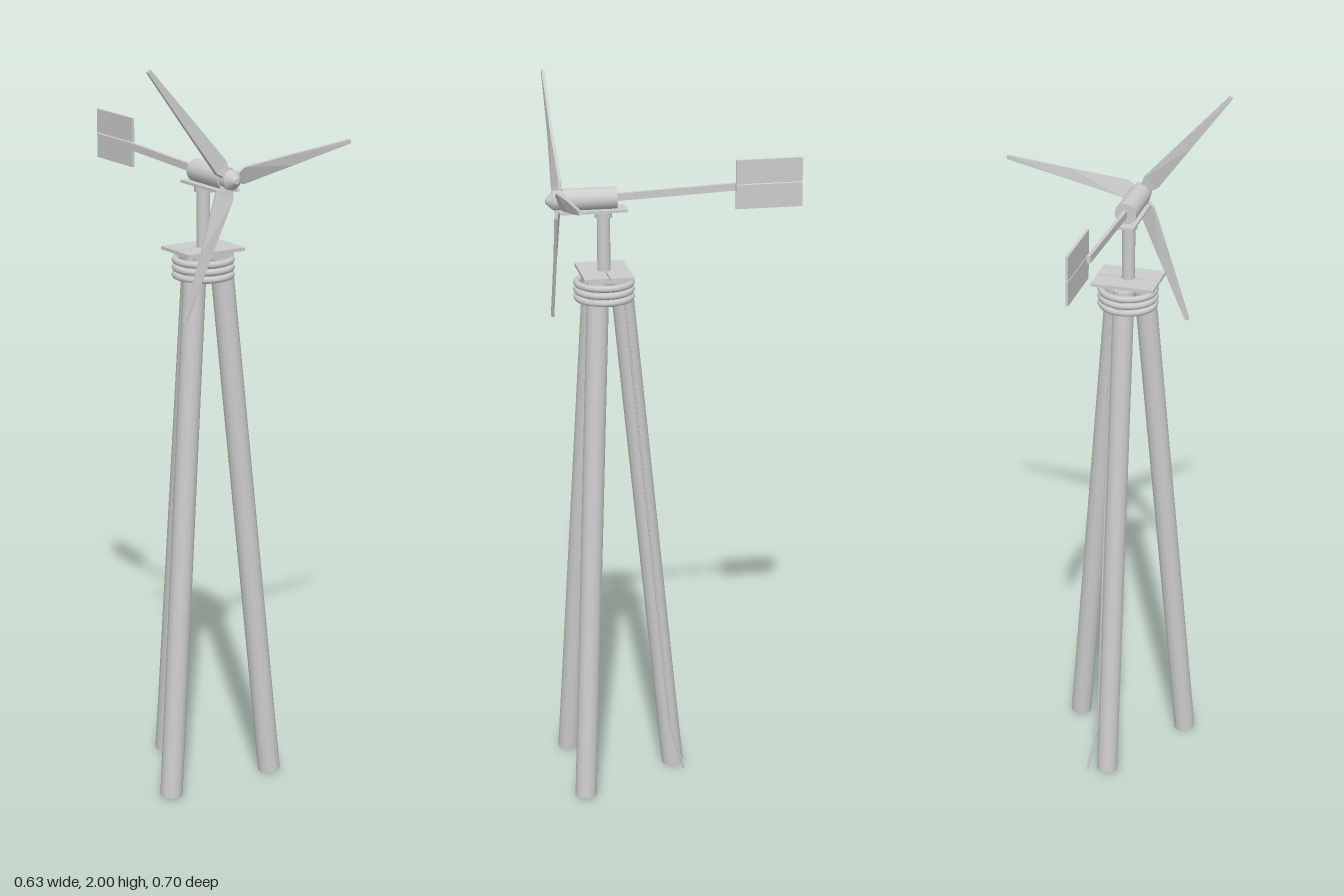
import * as THREE from 'three';

const CX = -0.068, CZ = 0.195; // tower axis
const V = (x, y, z) => new THREE.Vector3(x, y, z);

export function createModel() {
  const root = new THREE.Group();
  root.name = 'windTurbine';
  const grey = new THREE.MeshStandardMaterial({ color: 0xcccccc });
  grey.name = 'paleGrey';

  const add = (name, geo, x = 0, y = 0, z = 0, parent = root) => {
    const mesh = new THREE.Mesh(geo, grey);
    mesh.name = name;
    mesh.position.set(x, y, z);
    parent.add(mesh);
    return mesh;
  };
  // Cylinder running from a to b
  const rod = (name, a, b, r, sides = 16, rEnd = r) => {
    const dir = b.clone().sub(a);
    const mesh = add(name, new THREE.CylinderGeometry(rEnd, r, dir.length(), sides));
    mesh.position.copy(a).add(b).multiplyScalar(0.5);
    mesh.quaternion.setFromUnitVectors(V(0, 1, 0), dir.normalize());
    return mesh;
  };

  // Three leaning legs
  [30, 150, 270].forEach((deg, i) => {
    const c = Math.cos(deg * Math.PI / 180), s = Math.sin(deg * Math.PI / 180);
    rod('leg' + (i + 1), V(CX + 0.187 * c, 0.004, CZ + 0.187 * s),
      V(CX + 0.045 * c, 1.48, CZ + 0.045 * s), 0.0305, 12);
  });

  // Binding rings round the leg tops
  [1.424, 1.444, 1.464].forEach((y, i) => {
    const ring = new THREE.TorusGeometry(0.0745, 0.0095, 8, 32);
    ring.rotateX(Math.PI / 2);
    add('bindingRing' + (i + 1), ring, CX, y, CZ);
  });

  // Two-board platform on a bearer block
  add('bearerBlock', new THREE.BoxGeometry(0.122, 0.014, 0.098), CX, 1.482, 0.2);
  add('frontBoard', new THREE.BoxGeometry(0.176, 0.009, 0.067), CX, 1.493, 0.2285);
  add('backBoard', new THREE.BoxGeometry(0.176, 0.009, 0.065), CX, 1.493, 0.1595);

  // Mast, collar and bed plate
  rod('mast', V(CX, 1.48, CZ), V(CX, 1.665, CZ), 0.018, 20);
  rod('mastCollar', V(CX, 1.645, CZ), V(CX, 1.663, CZ), 0.024, 20);
  add('bedPlate', new THREE.BoxGeometry(0.061, 0.007, 0.185), CX, 1.666, 0.225);

  // Generator housing, hub and nose
  const axisY = 1.697;
  rod('housing', V(CX, axisY, 0.16), V(CX, axisY, 0.306), 0.03, 24);
  rod('hub', V(CX, axisY, 0.306), V(CX, axisY, 0.331), 0.027, 12);
  rod('nose', V(CX, axisY, 0.331), V(CX, axisY, 0.352), 0.027, 12, 0.007);

  // Tapering, slightly twisted blades lofted from flat sections: x, width, thickness, twist
  const sections = [[0.018, 0.026, 0.012, 0.35], [0.045, 0.05, 0.009, 0.3],
    [0.2, 0.031, 0.008, 0.12], [0.388, 0.011, 0.008, 0]];
  const pos = [], index = [];
  for (const [x, w, t, twist] of sections) {
    for (const [u, v] of [[w / 2, -t / 2], [w / 2, t / 2], [-w / 2, t / 2], [-w / 2, -t / 2]]) {
      pos.push(x, u * Math.cos(twist) - v * Math.sin(twist),
        u * Math.sin(twist) + v * Math.cos(twist));
    }
  }
  const last = (sections.length - 1) * 4;
  for (let i = 0; i < last; i += 4) {
    for (let j = 0; j < 4; j++) {
      const a = i + j, b = i + (j + 1) % 4;
      index.push(a, b, b + 4, a, b + 4, a + 4);
    }
  }
  index.push(0, 2, 1, 0, 3, 2, last, last + 1, last + 2, last, last + 2, last + 3);
  const loft = new THREE.BufferGeometry();
  loft.setAttribute('position', new THREE.Float32BufferAttribute(pos, 3));
  loft.setIndex(index);
  const bladeGeo = loft.toNonIndexed();
  bladeGeo.computeVertexNormals();

  const rotor = new THREE.Group();
  rotor.name = 'rotor';
  rotor.position.set(CX, axisY, 0.3175);
  root.add(rotor);
  for (let i = 0; i < 3; i++) {
    const blade = add('blade' + (i + 1), bladeGeo, 0, 0, 0, rotor);
    blade.rotation.z = (9.3 + i * 120) * Math.PI / 180;
  }

  // Tail boom and split vane
  const boom = add('tailBoom', new THREE.BoxGeometry(0.01, 0.02, 0.355), CX, 1.705, -0.012);
  boom.rotation.x = 0.04;
  add('upperVane', new THREE.BoxGeometry(0.007, 0.066, 0.184), -0.0585, 1.753, -0.259);
  add('lowerVane', new THREE.BoxGeometry(0.007, 0.066, 0.184), -0.0585, 1.684, -0.259);

  // Cable down the back leg, bending away at the foot
  const knee = V(-0.035, 0.14, 0.022);
  rod('cable', V(-0.035, 1.45, 0.147), knee, 0.003, 6);
  rod('cableEnd', knee, V(-0.015, 0.003, -0.016), 0.003, 6);

  return root;
}
